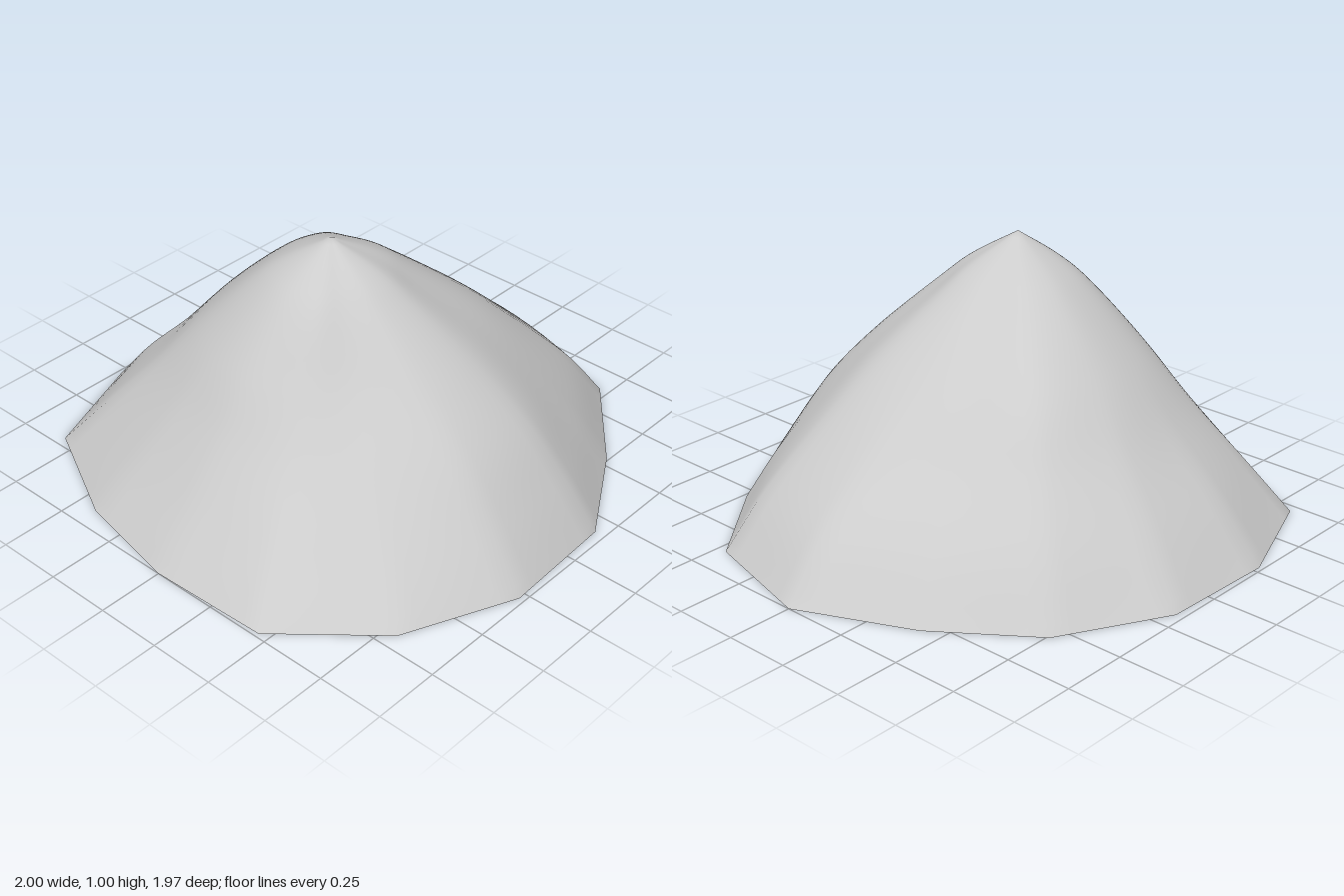
import * as THREE from 'three';

// One slope per rim corner, counterclockwise seen from above:
// rim x, rim z, then the share of the rim distance left at heights 0.2, 0.4, 0.6, 0.8
const SLOPES = [
  [1, 0, 0.86, 0.67, 0.475, 0.27],
  [0.81, -0.42, 0.865, 0.69, 0.51, 0.285],
  [0.56, -0.76, 0.87, 0.71, 0.55, 0.31],
  [0.17, -0.97, 0.85, 0.68, 0.51, 0.3],
  [-0.28, -0.985, 0.84, 0.65, 0.48, 0.285],
  [-0.71, -0.82, 0.82, 0.635, 0.465, 0.28],
  [-0.92, -0.41, 0.82, 0.65, 0.49, 0.3],
  [-1, 0, 0.81, 0.64, 0.485, 0.3],
  [-0.985, 0.46, 0.78, 0.575, 0.41, 0.26],
  [-0.69, 0.8, 0.79, 0.59, 0.4, 0.24],
  [-0.28, 0.98, 0.85, 0.69, 0.49, 0.28],
  [0.17, 0.96, 0.875, 0.73, 0.53, 0.3],
  [0.54, 0.74, 0.87, 0.71, 0.52, 0.29],
  [0.88, 0.46, 0.865, 0.69, 0.5, 0.28],
];
const HEIGHTS = [0, 0.2, 0.4, 0.6, 0.8, 0.9, 1];
const APEX = new THREE.Vector3(-0.21, 1, 0.07);

// Curve from a rim corner up to the apex
function slopeCurve([x, z, ...shares]) {
  const all = [1, ...shares, shares[3] * 0.58, 0];
  return new THREE.CatmullRomCurve3(
    all.map((s, i) => new THREE.Vector3(
      APEX.x + (x - APEX.x) * s, HEIGHTS[i], APEX.z + (z - APEX.z) * s)),
    false, 'catmullrom', 0.5);
}

function moundGeometry(perEdge = 6, rings = 36) {
  const curves = SLOPES.map(slopeCurve);
  const count = curves.length * perEdge;
  const positions = [];
  const indices = [];

  // Level rings: straight-edged at the ground, rounded higher up
  for (let j = 0; j < rings; j++) {
    const t = j / rings;
    const corners = curves.map((c) => c.getPoint(t));
    const round = new THREE.CatmullRomCurve3(corners, true, 'catmullrom', 0.5);
    for (let i = 0; i < count; i++) {
      const k = Math.floor(i / perEdge);
      const p = corners[k].clone().lerp(corners[(k + 1) % corners.length], (i % perEdge) / perEdge);
      p.lerp(round.getPoint(i / count), Math.min(1, t * 2));
      positions.push(p.x, p.y, p.z);
    }
  }
  positions.push(APEX.x, APEX.y, APEX.z);

  const tip = rings * count;
  for (let j = 0; j < rings; j++) {
    for (let i = 0; i < count; i++) {
      const a = j * count + i;
      const b = j * count + ((i + 1) % count);
      if (j === rings - 1) indices.push(a, b, tip);
      else indices.push(a, b, b + count, a, b + count, a + count);
    }
  }

  const geometry = new THREE.BufferGeometry();
  geometry.setAttribute('position', new THREE.Float32BufferAttribute(positions, 3));
  geometry.setIndex(indices);
  geometry.computeVertexNormals();
  return geometry;
}

export function createModel() {
  const group = new THREE.Group();
  group.name = 'mound';
  // Open shell without a floor
  const material = new THREE.MeshStandardMaterial({ color: 0xcccccc, side: THREE.DoubleSide });
  material.name = 'light grey';
  const shell = new THREE.Mesh(moundGeometry(), material);
  shell.name = 'moundShell';
  group.add(shell);
  return group;
}
